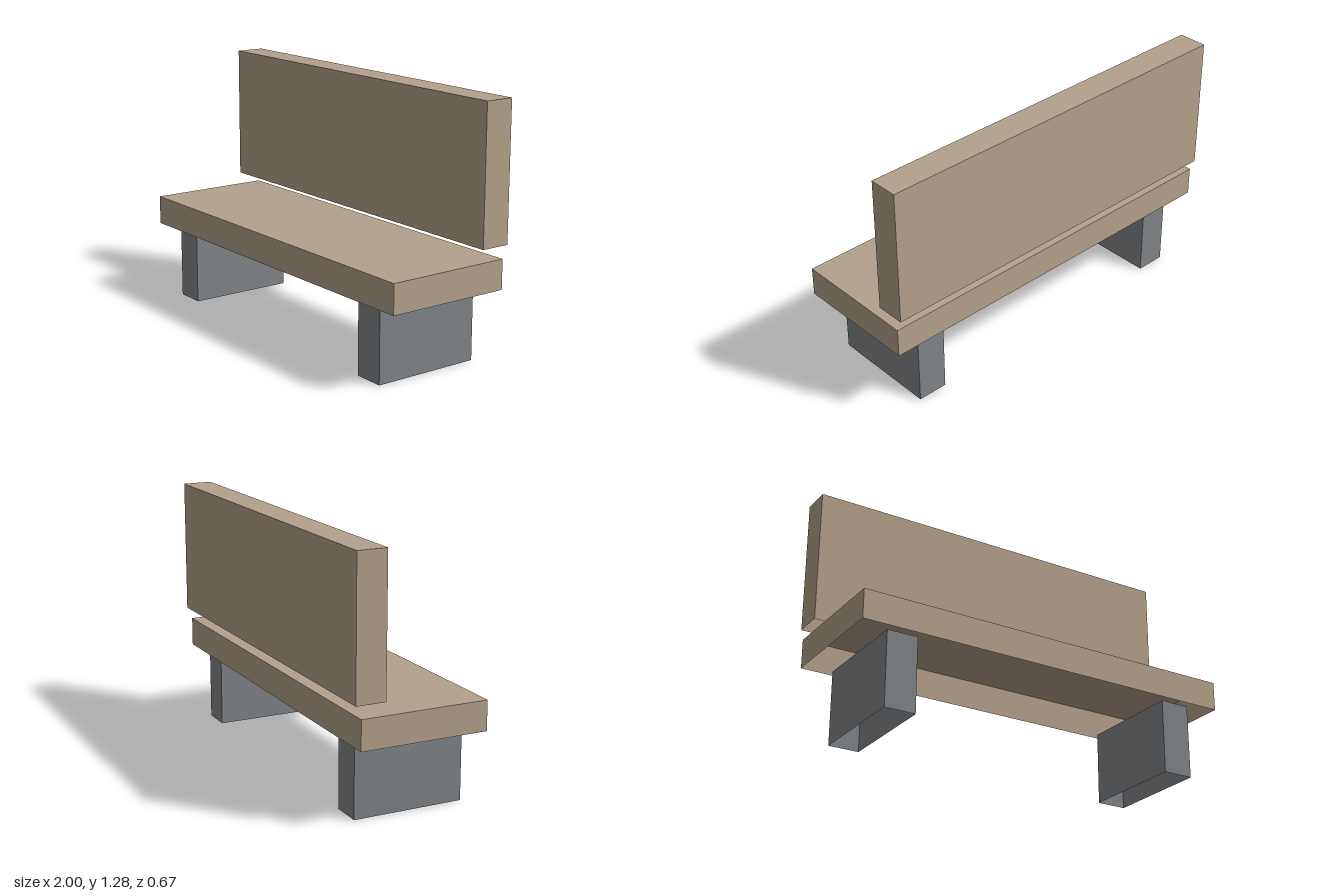
import * as THREE from 'three';

const wood = new THREE.MeshStandardMaterial({ color: 0xb3a28b, side: THREE.DoubleSide });
wood.name = 'wood';
const stone = new THREE.MeshStandardMaterial({ color: 0x808588, side: THREE.DoubleSide });
stone.name = 'stone';

// A box with no underside, given by its lower and upper corners
function openBox(name, material, [x0, y0, z0], [x1, y1, z1]) {
  const geometry = new THREE.BoxGeometry(x1 - x0, y1 - y0, z1 - z0);
  // Faces run +x, -x, +y, -y, +z, -z with six indices each: drop -y
  const index = Array.from(geometry.index.array);
  index.splice(18, 6);
  geometry.setIndex(index);
  geometry.clearGroups();
  const mesh = new THREE.Mesh(geometry, material);
  mesh.name = name;
  mesh.position.set((x0 + x1) / 2, (y0 + y1) / 2, (z0 + z1) / 2);
  return mesh;
}

export function createModel() {
  const bench = new THREE.Group();
  bench.name = 'bench';

  // Seat slab and floating backrest
  bench.add(openBox('seat', wood, [-1, 0.378, -0.31], [1, 0.527, 0.337]));
  bench.add(openBox('backrest', wood, [-1, 0.59, -0.337], [1, 1.277, -0.187]));

  // Block legs
  bench.add(openBox('leftLeg', stone, [0.695, 0, -0.267], [0.852, 0.378, 0.294]));
  bench.add(openBox('rightLeg', stone, [-0.855, 0, -0.267], [-0.698, 0.378, 0.294]));

  return bench;
}
